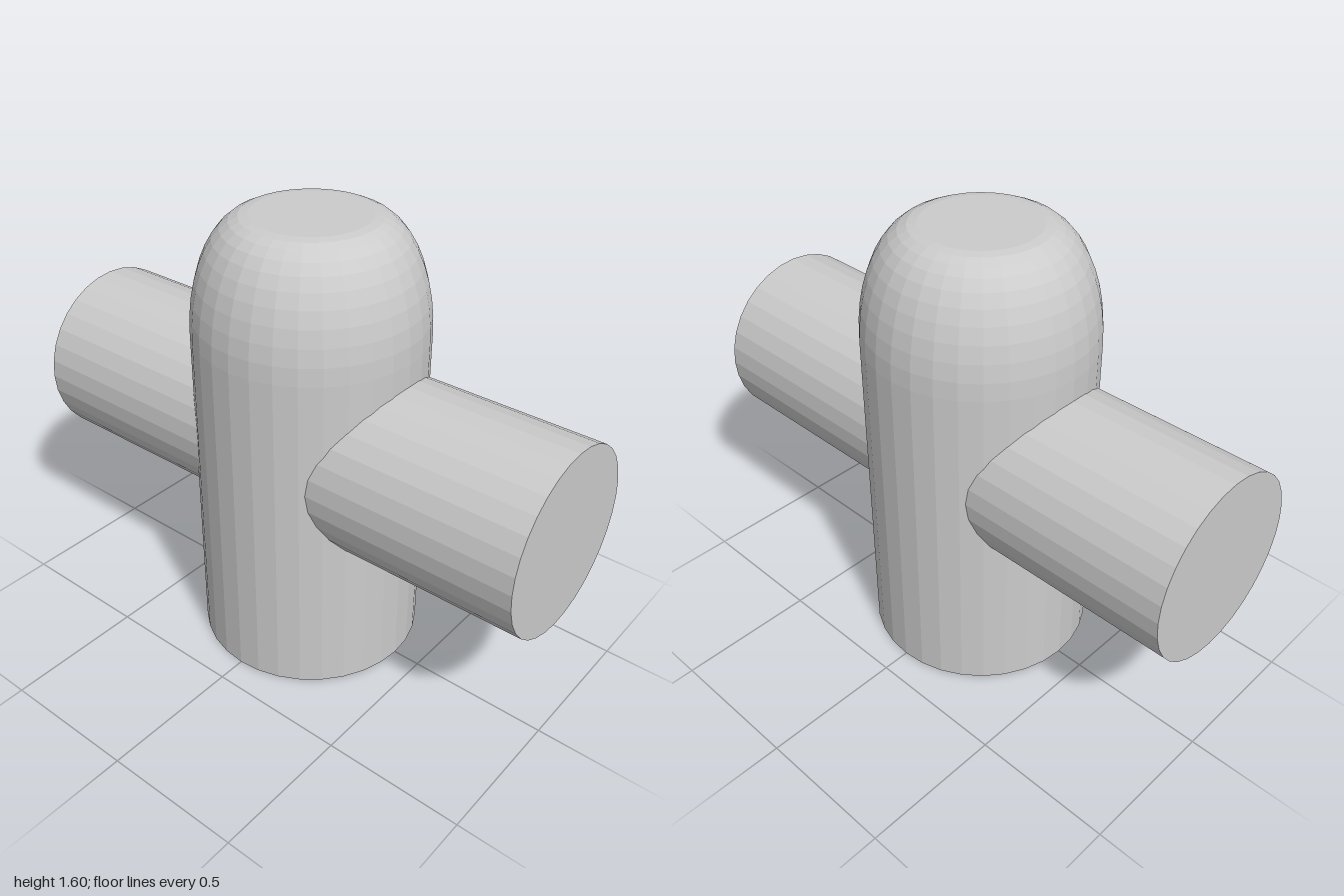
import * as THREE from 'three';

const SIDES = 32;

export function createModel() {
  const group = new THREE.Group();
  const material = new THREE.MeshStandardMaterial({ color: 0xcccccc, flatShading: true });

  const add = (name, geometry) => {
    const mesh = new THREE.Mesh(geometry, material);
    mesh.name = name;
    group.add(mesh);
    return mesh;
  };

  // Upright post: closed base, straight wall, elliptical shoulder, flat top
  const profile = [new THREE.Vector2(0, 0), new THREE.Vector2(0.4, 0)];
  const steps = 10;
  for (let i = 0; i <= steps; i++) {
    const a = (i / steps) * Math.PI / 2;
    profile.push(new THREE.Vector2(0.2 + 0.2 * Math.cos(a), 1.2 + 0.4 * Math.sin(a)));
  }
  profile.push(new THREE.Vector2(0, 1.6));
  add('post', new THREE.LatheGeometry(profile, SIDES));

  // Crossbar running front to back through the post
  const bar = new THREE.CylinderGeometry(0.32, 0.32, 2, SIDES).rotateX(Math.PI / 2);
  add('crossbar', bar).position.y = 0.8;

  return group;
}
